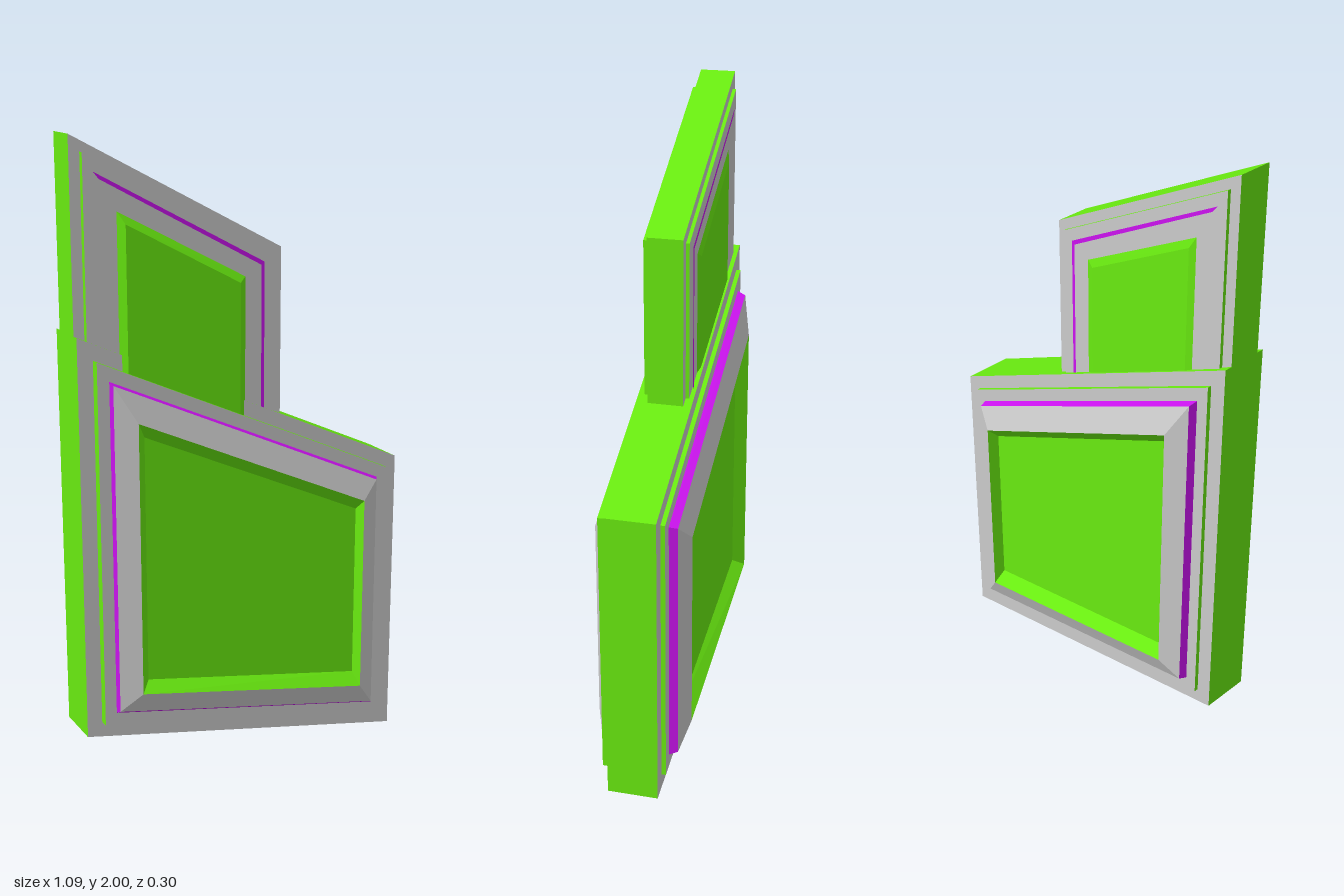
import * as THREE from 'three';

const GREY = new THREE.MeshStandardMaterial({ color: 0xcccccc });
const GREEN = new THREE.MeshStandardMaterial({ color: 0x69eb10 });
const PURPLE = new THREE.MeshStandardMaterial({ color: 0xcc13f0 });

// Corner outlines, counter-clockwise from the lower -x corner
const LOWER = {
  outer: [[-0.545, 0.19], [0.54, 0.003], [0.54, 0.943], [-0.545, 1.432]],
  step: [[-0.497, 0.23], [0.494, 0.06], [0.494, 0.917], [-0.497, 1.362]],
  base: [[-0.46, 0.265], [0.453, 0.107], [0.453, 0.892], [-0.46, 1.302]],
  lip: [[-0.453, 0.272], [0.446, 0.116], [0.446, 0.887], [-0.453, 1.292]],
  rim: [[-0.388, 0.328], [0.385, 0.195], [0.385, 0.832], [-0.388, 1.178]],
  floor: [[-0.355, 0.356], [0.375, 0.235], [0.375, 0.798], [-0.355, 1.125]],
};
const UPPER = {
  outer: [[-0.545, 1.33], [0.127, 1.03], [0.127, 1.645], [-0.545, 2.0]],
  step: [[-0.512, 1.31], [0.096, 1.04], [0.096, 1.627], [-0.512, 1.95]],
  base: [[-0.412, 1.22], [-0.003, 1.04], [-0.003, 1.567], [-0.412, 1.782]],
  pane: [[-0.392, 1.21], [-0.027, 1.05], [-0.027, 1.552], [-0.392, 1.746]],
};

function mesh(name, positions, material) {
  const geo = new THREE.BufferGeometry();
  geo.setAttribute('position', new THREE.Float32BufferAttribute(positions, 3));
  geo.computeVertexNormals();
  const m = new THREE.Mesh(geo, material);
  m.name = name;
  return m;
}

// Four flat quads joining two outlines; side -1 reverses the corner order
function band(name, a, za, b, zb, side, material) {
  const pos = [];
  for (let i = 0; i < 4; i++) {
    const j = (i + 1) % 4;
    const q = [[...a[i], za], [...a[j], za], [...b[j], zb], [...b[i], zb]];
    const order = side > 0 ? [0, 1, 2, 0, 2, 3] : [0, 2, 1, 0, 3, 2];
    order.forEach((k) => pos.push(...q[k]));
  }
  return mesh(name, pos, material);
}

function flat(name, pts, z, side, material) {
  const geo = new THREE.ShapeGeometry(new THREE.Shape(pts.map((p) => new THREE.Vector2(...p))));
  if (side < 0) {
    const ix = geo.index.array;
    for (let i = 0; i < ix.length; i += 3) [ix[i + 1], ix[i + 2]] = [ix[i + 2], ix[i + 1]];
    geo.computeVertexNormals();
  }
  const m = new THREE.Mesh(geo, material);
  m.name = name;
  m.position.z = z;
  return m;
}

// One face of a plate: successive rings [outline, depth, colour, name], then a pane
function face(name, side, rings) {
  const group = new THREE.Group();
  group.name = name;
  for (let i = 1; i < rings.length; i++) {
    const [a, za] = rings[i - 1];
    const [b, zb, material, part] = rings[i];
    group.add(band(part, a, side * za, b, side * zb, side, material));
  }
  const [pts, z] = rings[rings.length - 1];
  group.add(flat('pane', pts, side * z, side, GREEN));
  return group;
}

export function createModel() {
  const model = new THREE.Group();
  model.name = 'steppedPanel';

  for (const side of [1, -1]) {
    const front = side > 0;
    const label = front ? 'Front' : 'Back';

    // Large lower plate with a bevelled frame around a sunken pane
    const L = LOWER;
    const ls = front ? 0.107 : 0.094;
    const edge = front ? 0.078 : 0.08;
    model.add(face('lowerPlate' + label, side, [
      [L.outer, 0],
      [L.outer, edge, GREEN, 'outerEdge'],
      [L.step, edge, GREY, 'outerBorder'],
      [L.step, ls, GREEN, 'stepEdge'],
      [L.base, ls, GREY, 'stepBorder'],
      [L.lip, 0.12, PURPLE, 'purpleTrim'],
      [L.rim, 0.148, GREY, 'bevelledFrame'],
      [L.floor, 0.112, GREEN, 'recessWall'],
    ]));

    // Narrow upper plate with a raised pane, its foot sunk in the lower plate
    const U = UPPER;
    const us = front ? 0.073 : 0.066;
    model.add(face('upperPlate' + label, side, [
      [U.outer, 0],
      [U.outer, 0.055, GREEN, 'outerEdge'],
      [U.step, 0.055, GREY, 'outerBorder'],
      [U.step, us, GREEN, 'stepEdge'],
      [U.base, us, GREY, 'stepBorder'],
      [U.pane, front ? 0.09 : 0.073, GREEN, 'paneBevel'],
    ]));

    // Thin angled purple line, tapering at its top end
    model.add(flat('purpleLine' + label, [
      [0.05, 1.1], [0.06, 1.1], [0.06, 1.607], [-0.482, 1.896], [-0.465, 1.875], [0.05, 1.598],
    ], side * (us + 0.003), side, PURPLE));
  }
  return model;
}
